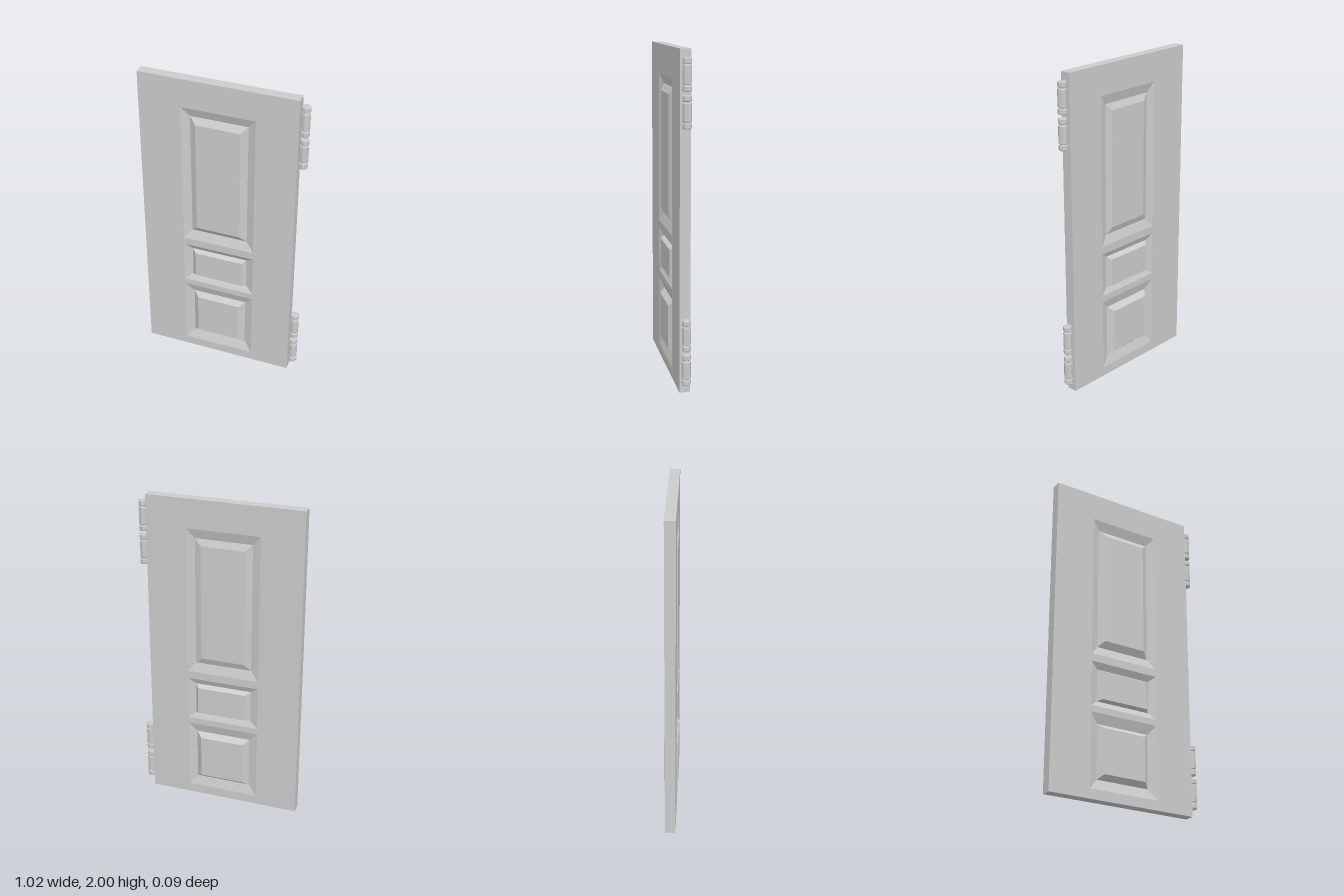
import * as THREE from 'three';

const material = new THREE.MeshStandardMaterial({ color: 0xcccccc, flatShading: true });

// Rectangles are [x0, y0, x1, y1]
const SLAB = [-0.511, 0, 0.453, 2];
const FRONT_Z = 0.035, BACK_Z = -0.029, RECESS_Z = 0.012;

// Each panel: opening in the door face, foot of the raised field, its flat top, and field heights
const PANELS = [
  { name: 'upperPanel', opening: [-0.25, 0.89, 0.205, 1.82], foot: [-0.2, 0.95, 0.155, 1.76],
    top: [-0.16, 0.99, 0.115, 1.72], front: 0.038, back: 0.028 },
  { name: 'middlePanel', opening: [-0.25, 0.56, 0.205, 0.84], foot: [-0.2, 0.6, 0.157, 0.803],
    top: [-0.172, 0.612, 0.135, 0.787], front: 0.038, back: 0.042 },
  { name: 'lowerPanel', opening: [-0.25, 0.06, 0.205, 0.52], foot: [-0.195, 0.125, 0.152, 0.46],
    top: [-0.16, 0.155, 0.115, 0.432], front: 0.043, back: 0.047 },
];

const corners = ([x0, y0, x1, y1]) => [[x0, y0], [x1, y0], [x1, y1], [x0, y1]];
const mirrorX = ([x0, y0, x1, y1]) => [-x1, y0, -x0, y1];

// Skins a series of rectangles {rect, z} from outside inwards, optionally capping the last one
function rectLoft(sections, cap) {
  const points = [];
  const quad = (a, b, c, d) => points.push(...a, ...b, ...c, ...a, ...c, ...d);
  const rings = sections.map(({ rect, z }) => corners(rect).map(([x, y]) => [x, y, z]));
  for (let s = 0; s < rings.length - 1; s++) {
    for (let i = 0; i < 4; i++) {
      const j = (i + 1) % 4;
      quad(rings[s][i], rings[s][j], rings[s + 1][j], rings[s + 1][i]);
    }
  }
  if (cap) quad(...rings[rings.length - 1]);
  const geometry = new THREE.BufferGeometry();
  geometry.setAttribute('position', new THREE.Float32BufferAttribute(points, 3));
  geometry.computeVertexNormals();
  return geometry;
}

function addMesh(parent, name, geometry) {
  const mesh = new THREE.Mesh(geometry, material);
  mesh.name = name;
  parent.add(mesh);
  return mesh;
}

// One face of the door with sunk openings and raised fields, facing +z
function doorFace(name, side, faceZ, place) {
  const group = new THREE.Group();
  group.name = name;
  const shape = new THREE.Shape(corners(place(SLAB)).map((p) => new THREE.Vector2(...p)));
  for (const p of PANELS) {
    const hole = corners(place(p.opening)).reverse().map((c) => new THREE.Vector2(...c));
    shape.holes.push(new THREE.Path(hole));
    addMesh(group, p.name, rectLoft([
      { rect: place(p.opening), z: faceZ },
      { rect: place(p.foot), z: RECESS_Z },
      { rect: place(p.top), z: p[side] },
    ], true));
  }
  addMesh(group, 'frame', new THREE.ShapeGeometry(shape).translate(0, 0, faceZ));
  return group;
}

// Eight-sided hinge barrel with a groove near each end
function hingeBarrel(height) {
  const r = 0.027, neck = 0.022;
  const profile = [
    [0, 0.004], [0.013, 0.004], [0.014, 0], [0.024, 0], [r, 0.005],
    [r, 0.03], [neck, 0.034], [neck, 0.039], [r, 0.043],
  ];
  const upper = profile.map(([x, y]) => [x, height - y]).reverse();
  return new THREE.LatheGeometry([...profile, ...upper].map((p) => new THREE.Vector2(...p)), 8);
}

export function createModel() {
  const door = new THREE.Group();
  door.name = 'door';

  // Slab edges and the two panelled faces
  addMesh(door, 'slabEdges', rectLoft([{ rect: SLAB, z: BACK_Z }, { rect: SLAB, z: FRONT_Z }], false));
  door.add(doorFace('frontFace', 'front', FRONT_Z, (r) => r));
  const back = doorFace('backFace', 'back', -BACK_Z, mirrorX);
  back.rotation.y = Math.PI;
  door.add(back);

  // Two hinges of two barrels each
  for (const [name, y] of [['lowerHinge', 0.058], ['upperHinge', 1.56]]) {
    const hinge = new THREE.Group();
    hinge.name = name;
    hinge.position.set(0.481, y, 0);
    addMesh(hinge, 'lowerBarrel', hingeBarrel(0.187));
    addMesh(hinge, 'upperBarrel', hingeBarrel(0.187)).position.y = 0.208;
    door.add(hinge);
  }
  return door;
}
